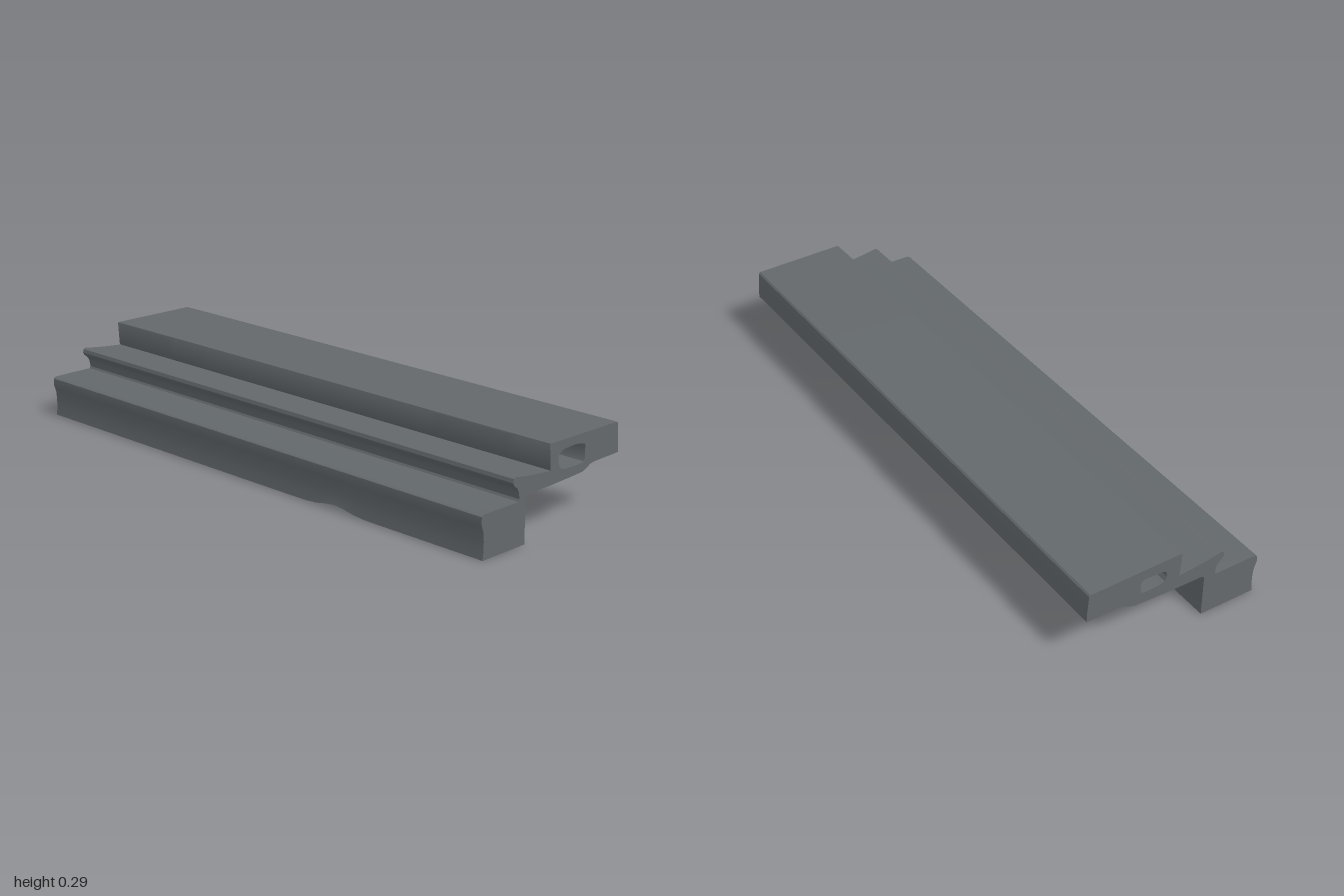
import * as THREE from 'three';
import { toCreasedNormals } from 'three/addons/utils/BufferGeometryUtils.js';

// Stepped trim profile as [z, y], measured at the -x end
const OUTLINE = [
  [0.309, 0.001], [0.112, 0.003], [0.113, 0.147], [0.111, 0.153], [0.102, 0.157],
  [0, 0.159], [-0.09, 0.163], [-0.148, 0.167], [-0.165, 0.174], [-0.185, 0.184],
  [-0.21, 0.187], [-0.318, 0.19], [-0.317, 0.225], [-0.312, 0.283], [-0.307, 0.289],
  [0.02, 0.289], [0.022, 0.284], [0.017, 0.21], [0.013, 0.204],
  [0.06, 0.208], [0.12, 0.214], [0.172, 0.222], [0.181, 0.218], [0.184, 0.206], [0.178, 0.196],
  [0.165, 0.186], [0.157, 0.172], [0.153, 0.15], [0.157, 0.143],
  [0.308, 0.142], [0.317, 0.136], [0.318, 0.115], [0.313, 0.1],
  [0.308, 0.085], [0.306, 0.06], [0.306, 0.03],
];
// Rounded slot running through the upper slab
const SLOT = [
  [-0.031, 0.225], [-0.034, 0.243], [-0.048, 0.25], [-0.075, 0.252], [-0.11, 0.253], [-0.122, 0.25],
  [-0.126, 0.242], [-0.126, 0.215], [-0.122, 0.206], [-0.112, 0.203], [-0.055, 0.203], [-0.038, 0.21],
];

const toPoints = (list) => list.map(([z, y]) => new THREE.Vector2(-z, y));

// Slight drift along the length, the widening slot and the nick in the lower front edge
function shapeAlongLength(geometry) {
  const p = geometry.attributes.position;
  for (let i = 0; i < p.count; i++) {
    const x = p.getX(i), t = (x + 1) / 2;
    let y = p.getY(i), z = p.getZ(i);
    if (z < -0.025 && z > -0.13 && y > 0.195 && y < 0.26) {
      z = -0.03 + (z + 0.03) * (1 + 0.32 * t);
      y = 0.227 + (y - 0.227) * (1 + 0.35 * t);
    } else if (z > 0.14 || (z > -0.02 && y > 0.198)) {
      z -= 0.013 * t;
      if (y < 0.02) y += 0.016 * Math.exp(-(((x - 0.4) / 0.07) ** 2));
    }
    p.setXYZ(i, x, y, z);
  }
}

export function createModel() {
  const group = new THREE.Group();
  const slateGrey = new THREE.MeshStandardMaterial({ color: 0x63686b });
  slateGrey.name = 'slate grey';

  const shape = new THREE.Shape(toPoints(OUTLINE));
  shape.holes.push(new THREE.Path(toPoints(SLOT)));
  const geometry = new THREE.ExtrudeGeometry(shape, { depth: 2, steps: 50, bevelEnabled: false });
  geometry.translate(0, 0, -1).rotateY(Math.PI / 2);
  shapeAlongLength(geometry);

  const profile = new THREE.Mesh(toCreasedNormals(geometry, 0.6), slateGrey);
  profile.name = 'steppedProfile';
  group.add(profile);
  return group;
}
